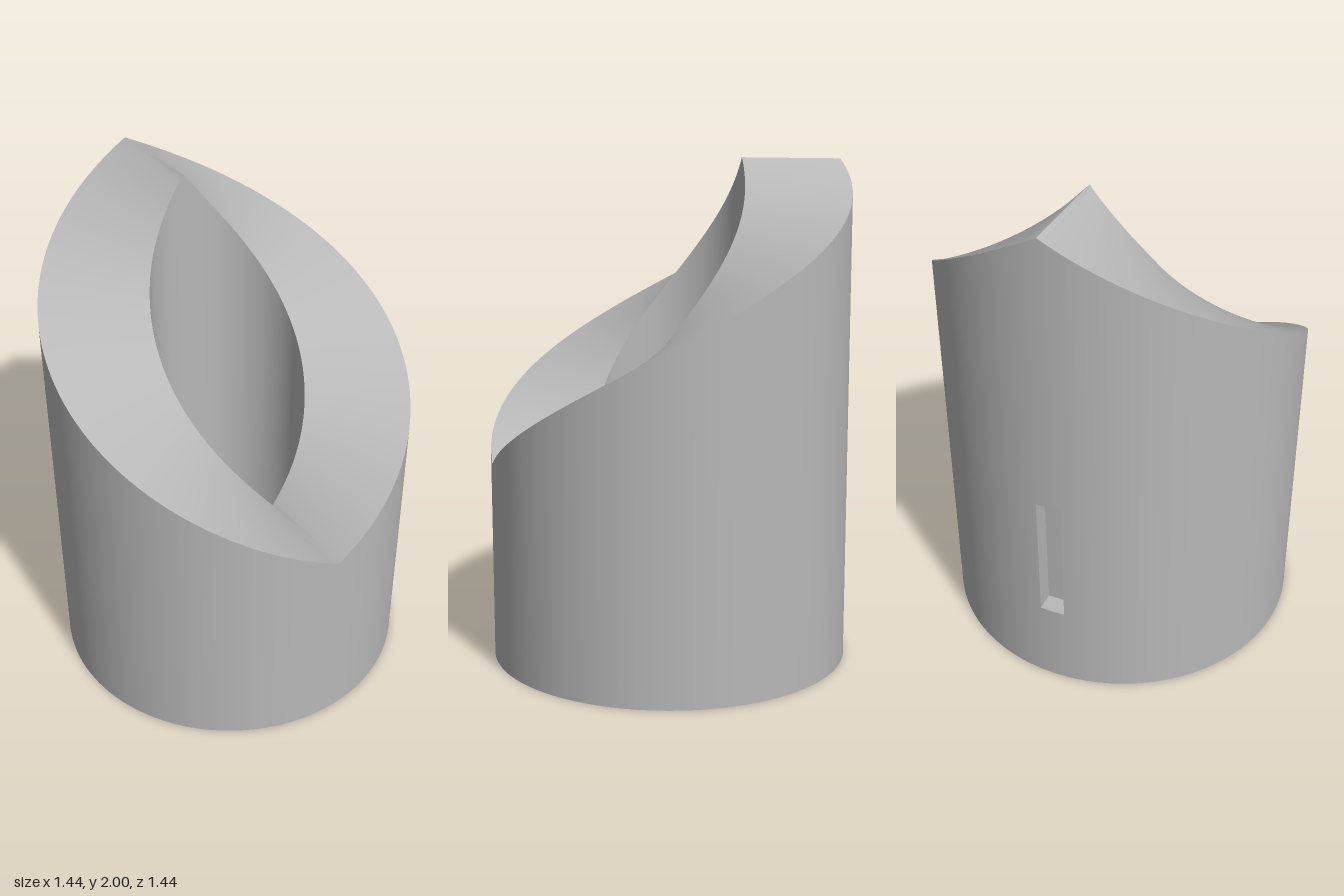
import * as THREE from 'three';

const R = 0.72, BORE = 0.3, RECESS = 0.55, FLAT_Z = -0.32, RECESS_H = 0.29;
const SLOT = { half: 0.05, low: 0.35, high: 0.88, z: -0.645 };

// Angle t runs from the front (+z) towards +x; t = PI is the back.
const at = (r, t, y) => new THREE.Vector3(r * Math.sin(t), y, r * Math.cos(t));
const rise = (t) => 2 - 1.2 * Math.abs(Math.PI - t) / Math.PI;
const range = (a, b, n) => Array.from({ length: n + 1 }, (_, i) => a + (b - a) * i / n);

// Band of quads between two rows of points, facing the viewer who sees "upper" above "lower"
function strip(lower, upper) {
  const n = lower.length, index = [];
  for (let i = 0; i < n - 1; i++) index.push(i, i + 1, n + i + 1, i, n + i + 1, n + i);
  const g = new THREE.BufferGeometry().setFromPoints([...lower, ...upper]);
  g.setIndex(index);
  g.computeVertexNormals();
  return g;
}

// Upright round wall with exact radial normals
function wall(r, ts, low, high, inward = false) {
  const a = ts.map((t) => at(r, t, low(t))), b = ts.map((t) => at(r, t, high(t)));
  const g = inward ? strip(b, a) : strip(a, b);
  const p = g.attributes.position, s = inward ? -1 : 1;
  for (let i = 0; i < p.count; i++) g.attributes.normal.setXYZ(i, s * p.getX(i) / r, 0, s * p.getZ(i) / r);
  return g;
}

export function createModel() {
  const group = new THREE.Group();
  const grey = new THREE.MeshStandardMaterial({ color: 0xb8b8b8 });
  grey.name = 'grey';
  const add = (name, geometry) => {
    const mesh = new THREE.Mesh(geometry, grey);
    mesh.name = name;
    group.add(mesh);
    return mesh;
  };
  const level = (y) => () => y;
  const PI = Math.PI, a = Math.asin(SLOT.half / R);
  const right = [...range(0, PI - a, 60), PI];
  const left = right.map((t) => 2 * PI - t).reverse();

  // Outer wall, leaving an opening for the slot at the back
  add('outerWall', wall(R, right.slice(0, -1), level(0), rise));
  add('outerWall', wall(R, left.slice(1), level(0), rise));
  const back = [PI - a, PI, PI + a];
  add('wallBelowSlot', wall(R, back, level(0), level(SLOT.low)));
  add('wallAboveSlot', wall(R, back, level(SLOT.high), rise));

  // Two mirrored helical ramps, and the bore between them
  for (const ts of [right, left]) {
    add('helicalRamp', strip(ts.map((t) => at(R, t, rise(t))), ts.map((t) => at(BORE, t, rise(t)))));
    add('bore', wall(BORE, ts, level(RECESS_H), rise, true));
  }

  // Slot pocket
  const rim = [...back.map((t) => at(R, t, SLOT.low)), ...back.map((t) => at(R, t, SLOT.high)).reverse()];
  rim.push(rim[0].clone());
  const pocket = strip(rim, rim.map((p) => new THREE.Vector3(p.x, p.y, SLOT.z))).toNonIndexed();
  pocket.computeVertexNormals();
  add('slotSides', pocket);
  const floor = add('slotFloor', new THREE.PlaneGeometry(2 * SLOT.half, SLOT.high - SLOT.low));
  floor.rotation.y = PI;
  floor.position.set(0, (SLOT.low + SLOT.high) / 2, SLOT.z);

  // D-shaped recess in the underside
  const T = Math.acos(FLAT_Z / RECESS);
  add('recessWall', wall(RECESS, range(-T, T, 80), level(0), level(RECESS_H), true));
  add('recessFlat', strip([T, -T].map((t) => at(RECESS, t, RECESS_H)), [T, -T].map((t) => at(RECESS, t, 0))));

  // Downward faces: base ring and recess ceiling
  const dOutline = range(-T, T, 80).map((t) => new THREE.Vector2(RECESS * Math.sin(t), RECESS * Math.cos(t)));
  const circle = (r) => [...right, ...left.slice(1, -1)].map((t) => new THREE.Vector2(r * Math.sin(t), r * Math.cos(t)));
  const downFace = (name, outline, hole, y) => {
    const shape = new THREE.Shape(outline);
    shape.holes.push(new THREE.Path(hole));
    add(name, new THREE.ShapeGeometry(shape).rotateX(PI / 2).translate(0, y, 0));
  };
  downFace('baseRing', circle(R), dOutline, 0);
  downFace('recessCeiling', dOutline, circle(BORE), RECESS_H);

  return group;
}
